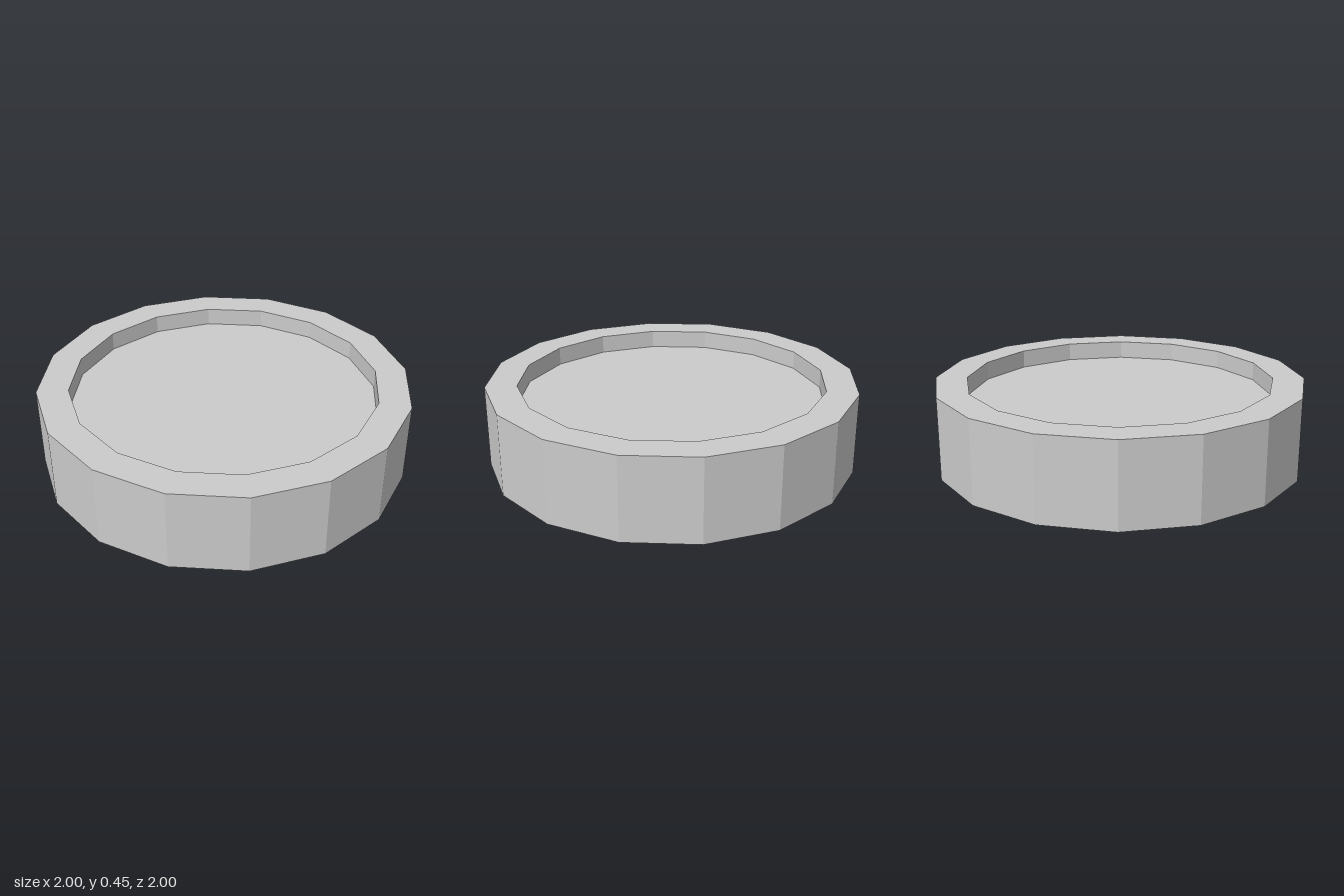
import * as THREE from 'three';

const SIDES = 16;
const HEIGHT = 0.447;
const OUTER = 1;
const INNER = 0.83;
const RECESS = 0.1;

export function createModel() {
  const group = new THREE.Group();
  group.name = 'recessedDisc';

  // Half section from the underside centre, round the rim, to the top centre
  const profile = [
    [0, RECESS],
    [INNER, RECESS],
    [INNER, 0],
    [OUTER, 0],
    [OUTER, HEIGHT],
    [INNER, HEIGHT],
    [INNER, HEIGHT - RECESS],
    [0, HEIGHT - RECESS],
  ].map(([r, y]) => new THREE.Vector2(r, y));

  // Faceted disc with a raised rim on both faces
  const disc = new THREE.Mesh(
    new THREE.LatheGeometry(profile, SIDES),
    new THREE.MeshStandardMaterial({ color: 0xcccccc, flatShading: true })
  );
  disc.name = 'rimmedDisc';
  group.add(disc);

  return group;
}
